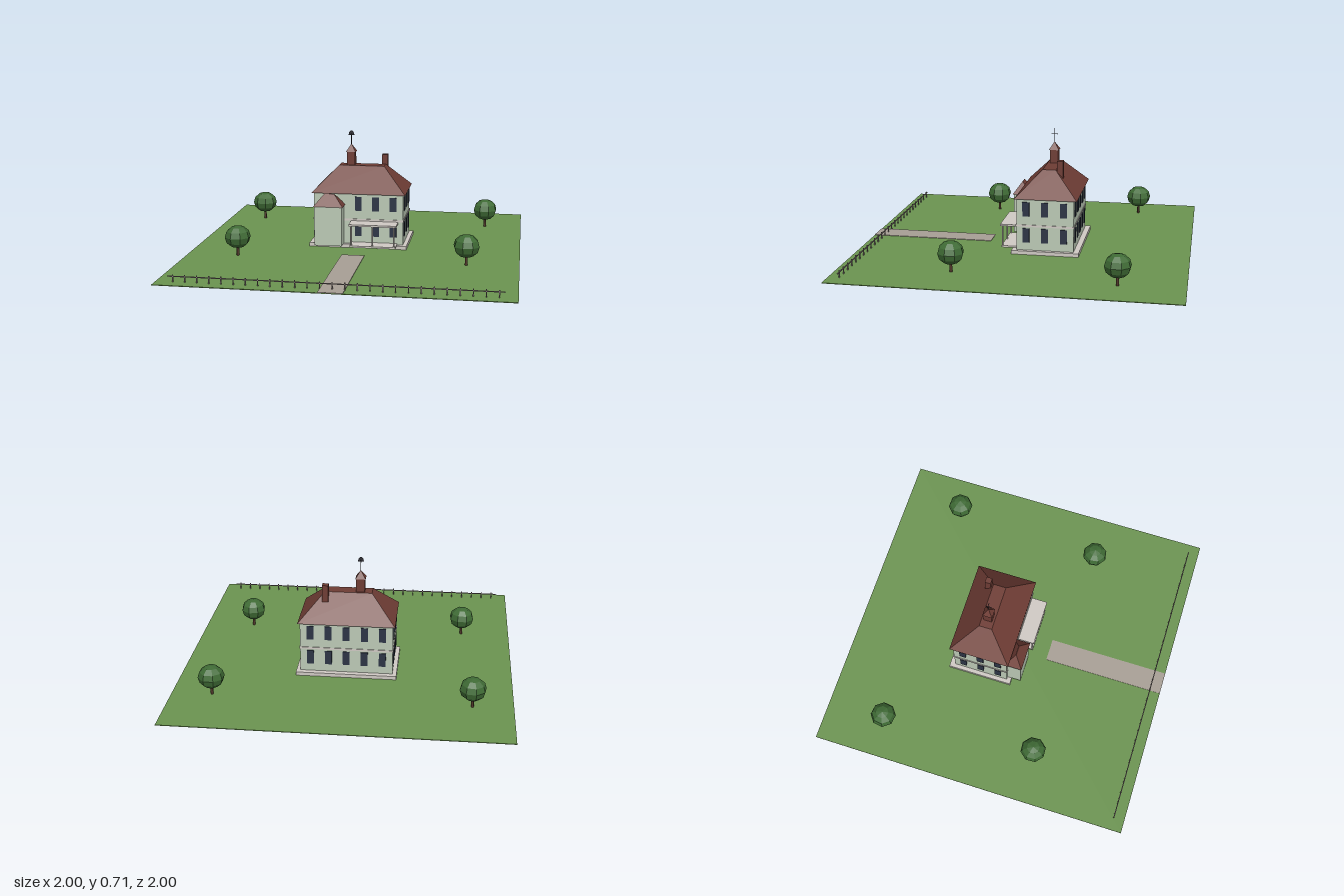
import * as THREE from 'three';

const flat = (name, color, extra = {}) => {
  const m = new THREE.MeshStandardMaterial({ color, ...extra });
  m.name = name;
  return m;
};

export function createModel() {
  const grass = flat('grass', 0x6b9450);
  const paving = flat('paving', 0xa89f95);
  const stone = flat('pale stone', 0xd0cac4);
  const wall = flat('wall green', 0xbccab6);
  const tile = flat('roof tile', 0x6f3d35, { side: THREE.DoubleSide });
  const glass = flat('window dark', 0x2c3445);
  const leaf = flat('foliage', 0x3f6b35, { flatShading: true });
  const bark = flat('bark', 0x4e3528);
  const fenceGrey = flat('fence grey', 0x857a78);
  const iron = flat('iron', 0x2e2e34, { side: THREE.DoubleSide });

  const model = new THREE.Group();
  model.name = 'houseAndGarden';
  const group = (name) => {
    const g = new THREE.Group();
    g.name = name;
    model.add(g);
    return g;
  };
  const add = (parent, name, geometry, material, x = 0, y = 0, z = 0) => {
    const mesh = new THREE.Mesh(geometry, material);
    mesh.name = name;
    mesh.position.set(x, y, z);
    parent.add(mesh);
    return mesh;
  };
  // box given by its lower and upper corners
  const box = (parent, name, material, [x0, y0, z0], [x1, y1, z1]) =>
    add(parent, name, new THREE.BoxGeometry(x1 - x0, y1 - y0, z1 - z0), material,
      (x0 + x1) / 2, (y0 + y1) / 2, (z0 + z1) / 2);
  // hipped roof: a box whose upper face is drawn in to a smaller rectangle
  const hip = (parent, name, [x0, y0, z0], [x1, y1, z1], topW, topD) => {
    const w = x1 - x0, h = y1 - y0, d = z1 - z0;
    const geo = new THREE.BoxGeometry(w, h, d);
    const p = geo.attributes.position;
    for (let i = 0; i < p.count; i++) {
      if (p.getY(i) > 0) {
        p.setX(i, Math.sign(p.getX(i)) * topW / 2);
        p.setZ(i, Math.sign(p.getZ(i)) * topD / 2);
      }
    }
    const g = geo.toNonIndexed();
    g.computeVertexNormals();
    return add(parent, name, g, tile, (x0 + x1) / 2, (y0 + y1) / 2, (z0 + z1) / 2);
  };

  // lawn and path
  const garden = group('garden');
  box(garden, 'lawn', grass, [-1, 0, -1], [1, 0.004, 1]);
  box(garden, 'path', paving, [-0.07, 0.001, 0.24], [0.07, 0.007, 1]);

  // main block
  const house = group('house');
  box(house, 'foundation', stone, [-0.305, 0.002, -0.343], [0.305, 0.026, 0.065]);
  box(house, 'walls', wall, [-0.28, 0.026, -0.31], [0.28, 0.345, 0.037]);
  box(house, 'stringCourse', stone, [-0.284, 0.172, -0.314], [0.284, 0.184, 0.041]);
  hip(house, 'mainRoof', [-0.293, 0.342, -0.329], [0.293, 0.495, 0.051], 0.285, 0.08);

  // windows on two floors, all four sides
  const windows = group('windows');
  const pane = (x, y, z, turned) => {
    const w = 0.042, t = 0.008;
    add(windows, 'window', new THREE.BoxGeometry(turned ? t : w, 0.088, turned ? w : t), glass, x, y, z);
  };
  for (const y of [0.118, 0.28]) {
    for (let i = -2; i <= 2; i++) {
      pane(i * 0.109, y, -0.311, false);
      if (i >= 0) pane(i * 0.109, y, 0.038, false);
    }
    for (const side of [-1, 1])
      for (let i = -1; i <= 1; i++) pane(side * 0.281, y, -0.135 + i * 0.114, true);
  }

  // projecting bay with its own hipped roof
  const bay = group('bay');
  box(bay, 'bayWalls', wall, [-0.262, 0.026, 0.03], [-0.09, 0.274, 0.123]);
  hip(bay, 'bayRoof', [-0.268, 0.272, 0.022], [-0.083, 0.346, 0.13], 0.06, 0.002);

  // porch
  const porch = group('porch');
  box(porch, 'porchDeck', stone, [-0.04, 0.024, 0.036], [0.245, 0.035, 0.137]);
  box(porch, 'porchRoof', stone, [-0.045, 0.16, 0.036], [0.25, 0.171, 0.143]);
  for (const x of [-0.03, 0.102, 0.235])
    add(porch, 'porchPost', new THREE.CylinderGeometry(0.005, 0.005, 0.126, 8), stone, x, 0.098, 0.13);

  // chimney, cupola and weather vane
  const rooftop = group('rooftop');
  box(rooftop, 'chimney', tile, [0.117, 0.38, -0.226], [0.154, 0.553, -0.189]);
  box(rooftop, 'cupola', tile, [-0.097, 0.48, -0.165], [-0.045, 0.58, -0.113]);
  hip(rooftop, 'cupolaSpire', [-0.102, 0.578, -0.17], [-0.04, 0.626, -0.108], 0.002, 0.002);
  add(rooftop, 'vaneRod', new THREE.CylinderGeometry(0.0018, 0.0018, 0.07, 6), iron, -0.071, 0.655, -0.139);
  box(rooftop, 'vaneBar', iron, [-0.0725, 0.673, -0.158], [-0.0695, 0.676, -0.12]);
  const vane = new THREE.Shape([[-0.019, 0], [0.019, 0], [0.014, 0.018], [0.005, 0.028], [-0.006, 0.028], [-0.014, 0.018]]
    .map(([x, y]) => new THREE.Vector2(x, y)));
  add(rooftop, 'vane', new THREE.ShapeGeometry(vane), iron, -0.071, 0.682, -0.139);

  // four round garden trees
  [[-0.76, -0.62], [0.76, -0.62], [-0.69, 0.34], [0.69, 0.34]].forEach(([x, z], i) => {
    const tree = group('tree');
    tree.position.set(x, 0, z);
    tree.rotation.y = 0.25 + i * 0.1;
    add(tree, 'trunk', new THREE.CylinderGeometry(0.007, 0.009, 0.08, 7), bark, 0, 0.042, 0);
    add(tree, 'crown', new THREE.SphereGeometry(0.079, 8, 6), leaf, 0, 0.12, 0).scale.y = 0.88;
  });

  // front fence
  const fence = group('fence');
  box(fence, 'fenceRail', fenceGrey, [-0.93, 0.034, 0.929], [0.93, 0.039, 0.935]);
  for (let i = -13; i <= 13; i++)
    add(fence, 'fencePost', new THREE.BoxGeometry(0.006, 0.044, 0.006), fenceGrey, i * 0.0692, 0.025, 0.932);

  return model;
}
